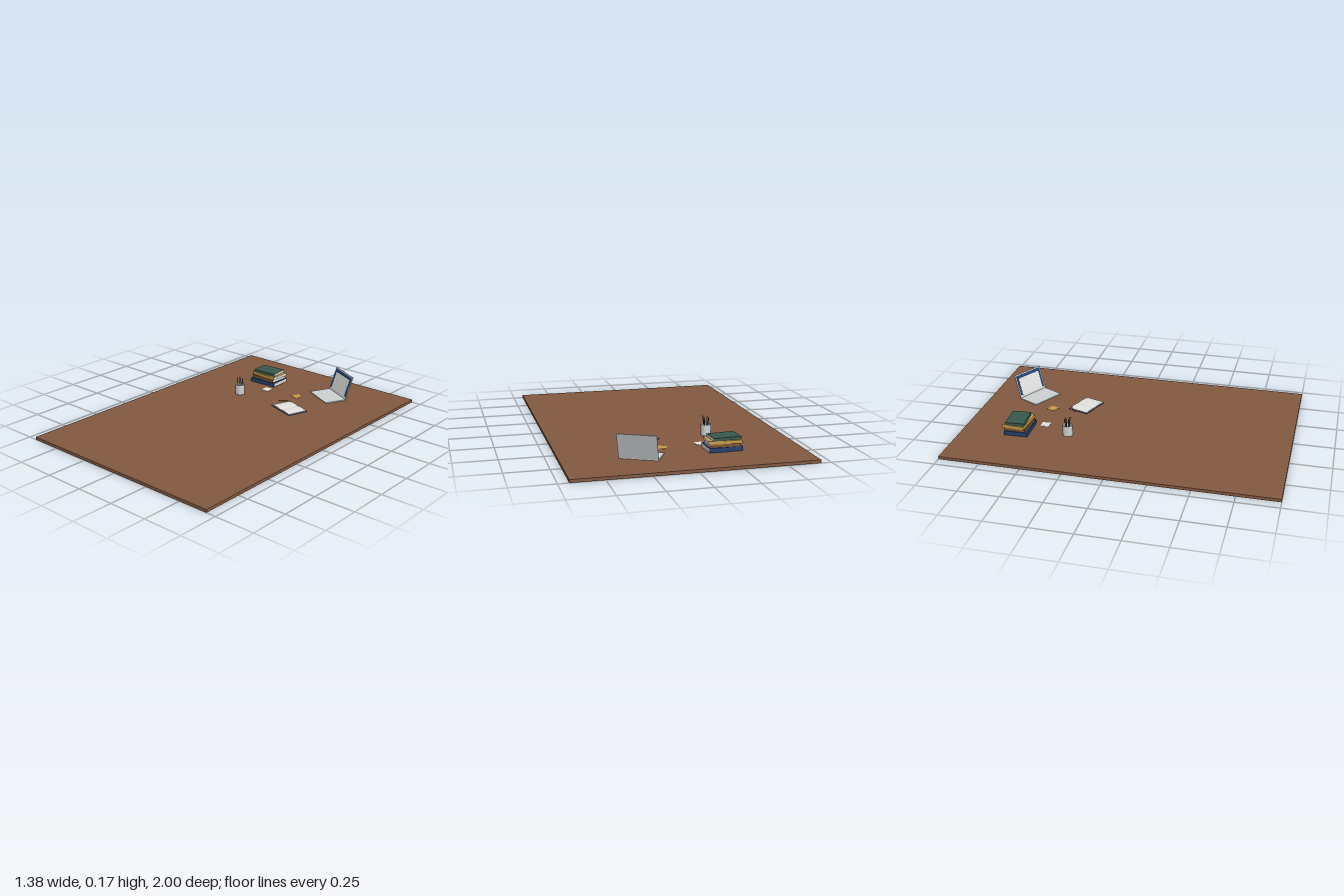
import * as THREE from 'three';
import { toCreasedNormals } from 'three/addons/utils/BufferGeometryUtils.js';

const TOP = 0.018; // height of the desk surface

function mat(name, color) {
  const m = new THREE.MeshStandardMaterial({ color });
  m.name = name;
  return m;
}

export function createModel() {
  const wood = mat('walnut wood', 0x835940);
  const navy = mat('navy', 0x24406f);
  const brown = mat('brown', 0x7d5434);
  const mustard = mat('mustard', 0xc79c48);
  const green = mat('dark green', 0x38584c);
  const paper = mat('paper', 0xe2e3e0);
  const silver = mat('silver', 0xcfd2d3);
  const charcoal = mat('charcoal', 0x2a2b2e);

  const model = new THREE.Group();
  model.name = 'desk';

  function add(parent, name, geometry, material, x = 0, y = 0, z = 0) {
    const mesh = new THREE.Mesh(geometry, material);
    mesh.name = name;
    mesh.position.set(x, y, z);
    parent.add(mesh);
    return mesh;
  }
  function box(parent, name, [w, h, d], material, x, y, z) {
    return add(parent, name, new THREE.BoxGeometry(w, h, d), material, x, y, z);
  }
  function group(name, x, y, z, turn = 0) {
    const g = new THREE.Group();
    g.name = name;
    g.position.set(x, y, z);
    g.rotation.y = turn;
    model.add(g);
    return g;
  }

  // Desk slab
  box(model, 'deskTop', [1.38, TOP, 2], wood, 0, TOP / 2, 0);

  // Stack of books, page ends facing +x
  const books = [
    // material, width, height, depth, x, z, turn
    [navy, 0.196, 0.026, 0.146, -0.24, -0.653, 0.03],
    [brown, 0.178, 0.02, 0.132, -0.242, -0.655, -0.03],
    [mustard, 0.192, 0.019, 0.134, -0.24, -0.66, -0.06],
    [green, 0.166, 0.017, 0.118, -0.247, -0.662, 0.07],
  ];
  let y = TOP;
  books.forEach(([material, w, h, d, x, z, turn], i) => {
    const book = group('book' + (i + 1), x, y, z, turn);
    box(book, 'cover', [w, h, d], material, 0, h / 2, 0);
    box(book, 'pages', [0.003, h * 0.82, d * 0.95], paper, w / 2, h / 2, 0);
    y += h;
  });

  // Laptop, with its origin on the hinge
  const laptop = group('laptop', 0.268, TOP, -0.75, -0.47);
  box(laptop, 'base', [0.224, 0.006, 0.146], silver, 0, 0.003, 0.073);
  const lid = new THREE.Group();
  lid.name = 'lid';
  lid.position.y = 0.006;
  lid.rotation.x = -0.32;
  laptop.add(lid);
  box(lid, 'lidShell', [0.224, 0.155, 0.005], silver, 0, 0.0775, 0);
  box(lid, 'screen', [0.208, 0.132, 0.001], navy, 0, 0.081, 0.0028);
  box(lid, 'screenWindow', [0.176, 0.112, 0.001], paper, 0, 0.071, 0.0035);

  // Open notebook with two gently arched page halves
  const notebook = group('notebook', 0.174, TOP, -0.347, -0.33);
  box(notebook, 'notebookCover', [0.202, 0.003, 0.139], navy, 0, 0.0015, 0);
  for (const s of [-1, 1]) {
    const shape = new THREE.Shape();
    shape.moveTo(0, 0);
    shape.lineTo(s * 0.096, 0);
    shape.lineTo(s * 0.096, 0.003);
    shape.bezierCurveTo(s * 0.06, 0.006, s * 0.025, 0.01, 0, 0.003);
    const pages = new THREE.ExtrudeGeometry(shape, { depth: 0.131, bevelEnabled: false, curveSegments: 8 });
    pages.translate(0, 0, -0.0655);
    add(notebook, s > 0 ? 'leftPages' : 'rightPages', toCreasedNormals(pages, 0.5), paper, 0, 0.003, 0);
  }

  // Pencil lying across the notebook corner
  const pencil = group('pencil', 0.086, TOP + 0.011, -0.414, 0.62);
  const rod = add(pencil, 'pencilBody', new THREE.CylinderGeometry(0.003, 0.003, 0.07, 6), mustard);
  rod.rotation.z = Math.PI / 2;
  const tip = add(pencil, 'pencilTip', new THREE.ConeGeometry(0.003, 0.01, 6), charcoal, -0.04);
  tip.rotation.z = Math.PI / 2;

  // Loose notes
  const notes = [['paperNote', paper, -0.148, -0.52, 0.08], ['yellowNote', mustard, 0.082, -0.548, -0.4]];
  for (const [name, material, x, z, turn] of notes) {
    const note = group(name, x, TOP, z, turn);
    box(note, 'noteSheet', [0.054, 0.002, 0.054], material, 0, 0.001, 0);
  }

  // Pen cup
  const cup = group('penCup', -0.241, TOP, -0.347);
  const profile = [[0, 0], [0.031, 0], [0.031, 0.067], [0.028, 0.067], [0.028, 0.004], [0, 0.004]];
  const cupShape = new THREE.LatheGeometry(profile.map(([r, h]) => new THREE.Vector2(r, h)), 24);
  add(cup, 'cupBody', toCreasedNormals(cupShape, 0.6), silver);

  // Pens fanning out of the cup
  [charcoal, mustard, charcoal, navy].forEach((material, i) => {
    const pen = new THREE.Group();
    pen.name = 'pen' + (i + 1);
    const a = Math.PI / 4 + (i * Math.PI) / 2;
    const foot = new THREE.Vector3(Math.cos(a) * 0.005, 0.005, Math.sin(a) * 0.005);
    const head = new THREE.Vector3(Math.cos(a) * 0.02, 0.118 - 0.003 * i, Math.sin(a) * 0.02);
    const dir = head.clone().sub(foot);
    const length = dir.length();
    pen.position.copy(foot);
    pen.quaternion.setFromUnitVectors(new THREE.Vector3(0, 1, 0), dir.normalize());
    add(pen, 'penBody', new THREE.CylinderGeometry(0.0032, 0.0032, length - 0.012, 8), material, 0, (length - 0.012) / 2, 0);
    add(pen, 'penTip', new THREE.CylinderGeometry(0.001, 0.0032, 0.012, 8), charcoal, 0, length - 0.006, 0);
    cup.add(pen);
  });

  return model;
}
